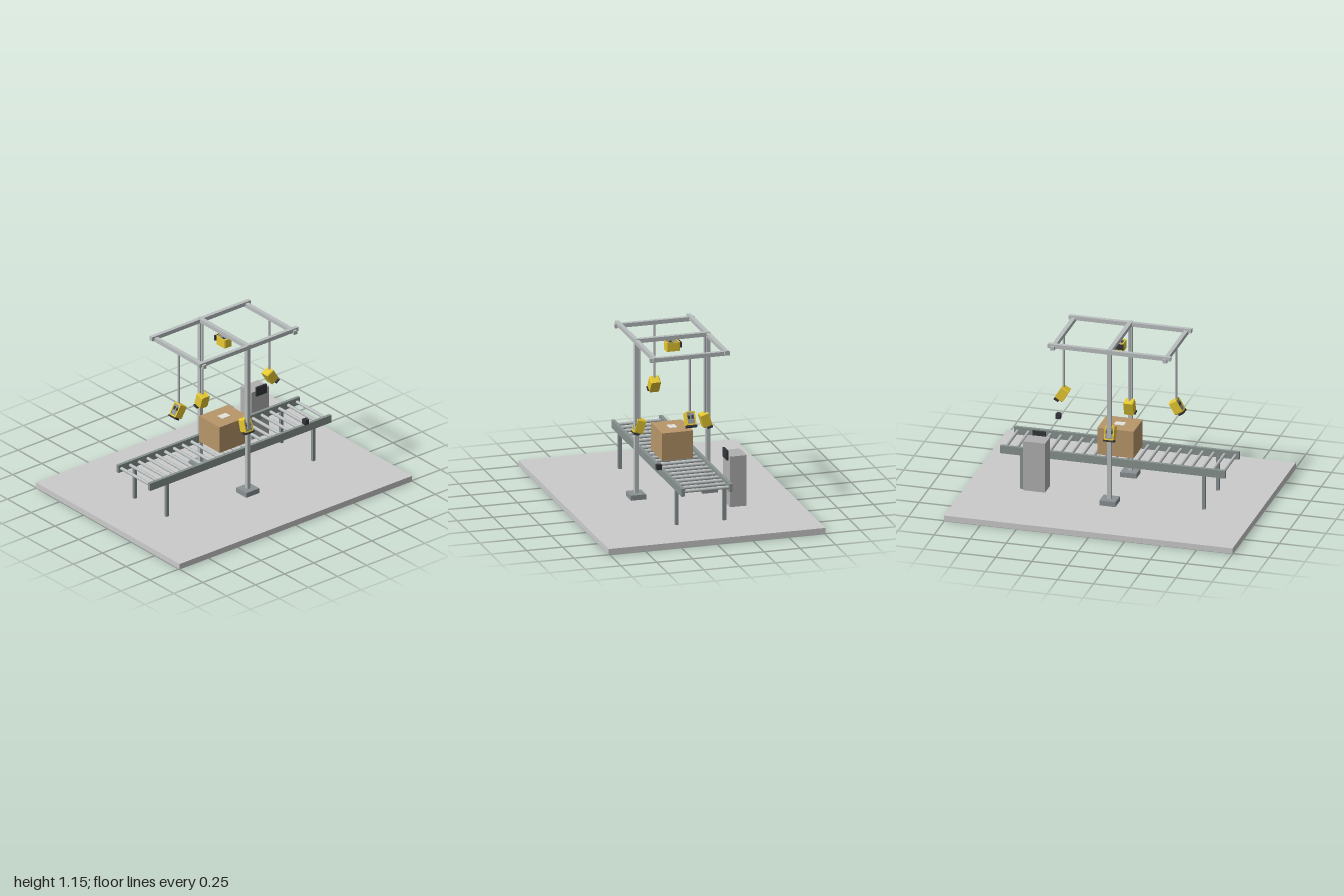
import * as THREE from 'three';

const mat = (color) => new THREE.MeshStandardMaterial({ color });
const M = {
  floor: mat(0xcccccc), steel: mat(0xb9bebe), rail: mat(0x87928f), foot: mat(0x8a9293),
  yellow: mat(0xe6c832), dark: mat(0x33363a), grey: mat(0x8d9294), carton: mat(0xb8966a),
  label: mat(0xe4e4dc), cabinet: mat(0xb0b0b0),
};

function box(parent, name, material, size, pos) {
  const m = new THREE.Mesh(new THREE.BoxGeometry(...size), material);
  m.name = name;
  m.position.set(...pos);
  parent.add(m);
  return m;
}

function rod(parent, name, material, r, length, pos, axis = 'y') {
  const m = new THREE.Mesh(new THREE.CylinderGeometry(r, r, length, 16), material);
  m.name = name;
  m.position.set(...pos);
  if (axis === 'z') m.rotation.x = Math.PI / 2;
  parent.add(m);
  return m;
}

// Rectangle outline with clipped corners
function clipped(w, h, c, Type = THREE.Shape) {
  const x = w / 2, y = h / 2;
  return new Type([
    [-x + c, -y], [x - c, -y], [x, -y + c], [x, y - c],
    [x - c, y], [-x + c, y], [-x, y - c], [-x, -y + c],
  ].map(([a, b]) => new THREE.Vector2(a, b)));
}

// Scanner head: long axis y, window on +z, connector plate at the lower end
function scanner(name, pos, yaw, tilt) {
  const g = new THREE.Group();
  g.name = name;
  const add = (part, shape, depth, z, material) => {
    const geo = new THREE.ExtrudeGeometry(shape, { depth, bevelEnabled: false });
    const m = new THREE.Mesh(geo, material);
    m.name = part;
    m.position.z = z;
    g.add(m);
  };
  add('scannerBody', clipped(0.066, 0.094, 0.006), 0.052, -0.03, M.yellow);
  const rim = clipped(0.066, 0.094, 0.006);
  rim.holes.push(clipped(0.05, 0.076, 0.004, THREE.Path));
  add('scannerRim', rim, 0.009, 0.022, M.yellow);
  box(g, 'scannerWindow', M.grey, [0.05, 0.076, 0.004], [0, 0, 0.024]);
  for (const s of [-1, 1])
    box(g, 'scannerLens', M.dark, [0.014, 0.022, 0.004], [s * 0.013, 0.008, 0.027]);
  box(g, 'connectorPlate', M.dark, [0.076, 0.012, 0.036], [0, -0.053, 0.012]);
  g.position.set(...pos);
  g.rotation.set(-tilt, yaw, 0, 'YXZ');
  return g;
}

function conveyor() {
  const g = new THREE.Group();
  g.name = 'conveyor';
  for (const s of [-1, 1]) {
    box(g, 'sideRail', M.rail, [1.56, 0.055, 0.022], [0, 0.308, s * 0.167]);
    for (const x of [-0.63, 0.63])
      box(g, 'conveyorLeg', M.foot, [0.022, 0.25, 0.022], [x, 0.163, s * 0.167]);
  }
  for (let i = -10; i <= 10; i++)
    rod(g, 'roller', M.steel, 0.011, 0.32, [i * 0.0755, 0.308, 0], 'z');
  return g;
}

function gantry() {
  const g = new THREE.Group();
  g.name = 'gantry';
  for (const s of [-1, 1]) {
    box(g, 'postFoot', M.foot, [0.112, 0.036, 0.106], [0, 0.057, s * 0.25]);
    box(g, 'post', M.steel, [0.028, 1.08, 0.028], [0, 0.6, s * 0.25]);
    box(g, 'topRail', M.steel, [0.85, 0.028, 0.028], [0, 1.135, s * 0.25]);
    box(g, 'crossBar', M.steel, [0.028, 0.028, 0.556], [s * 0.39, 1.125, 0]);
    // Hanging rods with their scanners
    rod(g, 'endHanger', M.steel, 0.008, 0.42, [s * 0.39, 0.91, 0]);
    rod(g, 'sideHanger', M.steel, 0.008, 0.58, [0, 0.84, s * 0.228]);
    g.add(scanner('endScanner', [s * 0.395, 0.688, 0], s * Math.PI / 2, 0.54));
    g.add(scanner('sideScanner', [0, 0.542, s * 0.23], s > 0 ? 0 : Math.PI, 0.29));
  }
  box(g, 'centreBeam', M.steel, [0.03, 0.028, 0.528], [0, 1.139, 0]);
  g.add(scanner('topScanner', [0, 1.08, 0], Math.PI, Math.PI / 2));
  return g;
}

export function createModel() {
  const model = new THREE.Group();
  model.name = 'scanningStation';
  box(model, 'floorSlab', M.floor, [2, 0.04, 1.514], [0, 0.02, 0]);
  model.add(conveyor(), gantry());

  // Parcel with its label
  box(model, 'parcel', M.carton, [0.252, 0.192, 0.216], [0, 0.418, 0]);
  box(model, 'parcelLabel', M.label, [0.07, 0.003, 0.052], [0, 0.5155, 0]);

  // Control cabinet with screen, and the trigger sensor opposite
  box(model, 'controlCabinet', M.cabinet, [0.152, 0.354, 0.116], [0.497, 0.281, -0.283]);
  box(model, 'screen', M.dark, [0.09, 0.066, 0.014], [0.498, 0.457, -0.218]);
  box(model, 'triggerSensor', M.dark, [0.032, 0.036, 0.034], [0.498, 0.41, 0.25]);
  return model;
}
